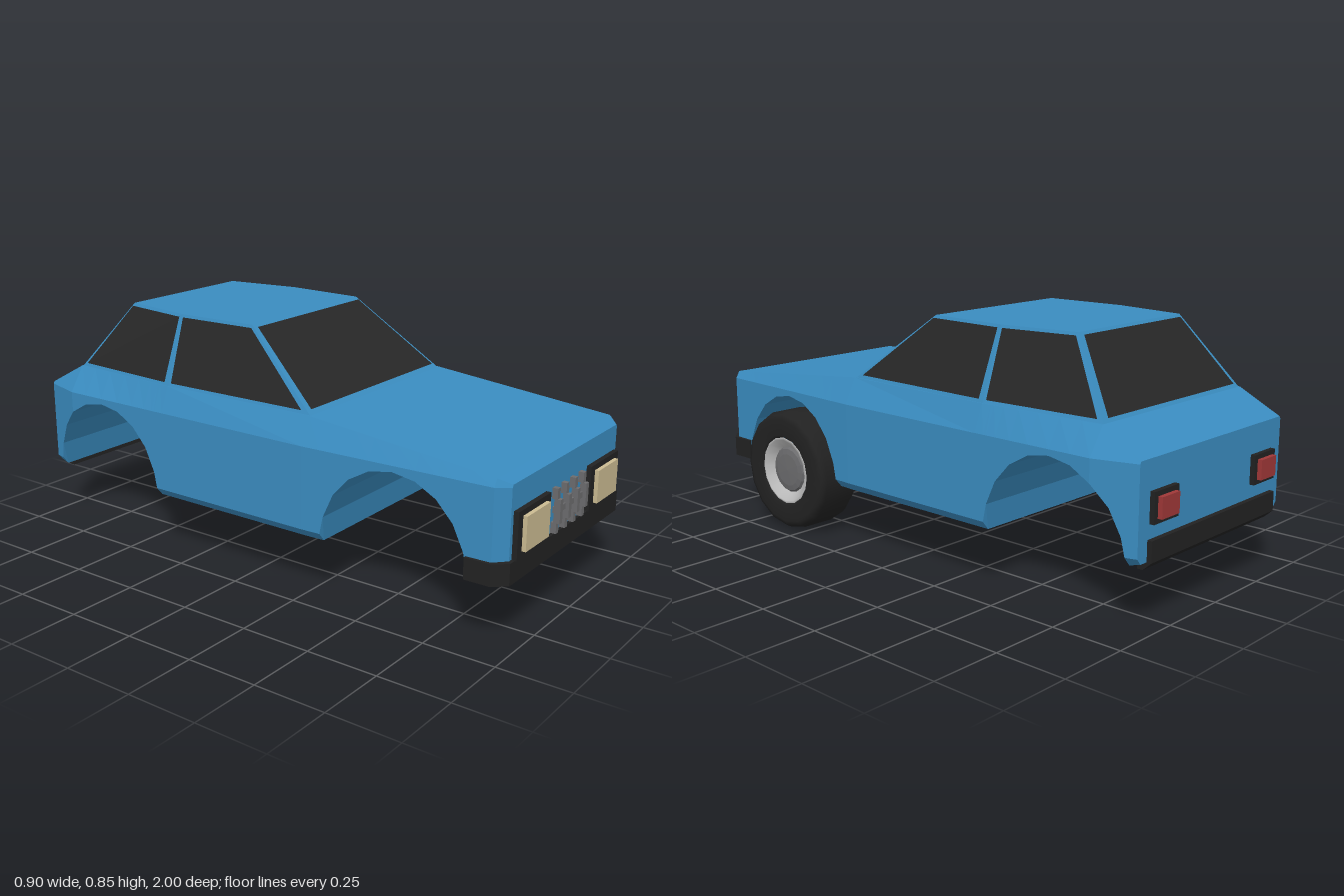
import * as THREE from 'three';

const mat = (name, color, flatShading = true) => {
  const m = new THREE.MeshStandardMaterial({ color, flatShading });
  m.name = name;
  return m;
};

// Piecewise linear lookup in [[z, value], ...]
function lookup(table, z) {
  if (z <= table[0][0]) return table[0][1];
  for (let i = 1; i < table.length; i++) {
    const [z0, v0] = table[i - 1], [z1, v1] = table[i];
    if (z <= z1) return v0 + (v1 - v0) * (z - z0) / (z1 - z0);
  }
  return table[table.length - 1][1];
}

// Separate polygons (counter-clockwise, convex) as one geometry
function polygons(list) {
  const pos = [];
  for (const p of list)
    for (let i = 1; i < p.length - 1; i++) pos.push(...p[0], ...p[i], ...p[i + 1]);
  const g = new THREE.BufferGeometry();
  g.setAttribute('position', new THREE.Float32BufferAttribute(pos, 3));
  g.computeVertexNormals();
  return g;
}

// Lower body: cross-sections along z, with wheel arches running right through
function bodyGeometry() {
  const sill = 0.205;
  const arch = (c) => Array.from({ length: 11 }, (_, k) => {
    const a = Math.PI * (1 - k / 10);
    return [c + 0.265 * Math.cos(a), sill + 0.295 * Math.sin(a)];
  });
  const bottom = [[-0.968, 0.215], ...arch(-0.665), ...arch(0.585), [0.968, sill]];
  const top = [[-0.968, 0.528], [-0.82, 0.61], [0.25, 0.61], [0.93, 0.545], [0.968, 0.525]];
  const side = [[-0.968, 0.397], [-0.82, 0.44], [0.25, 0.44], [0.93, 0.41], [0.968, 0.37]];
  const shoulder = [[-0.968, 0.392], [-0.82, 0.38], [-0.363, 0.405], [0.25, 0.395], [0.93, 0.395], [0.968, 0.365]];
  const zs = [...new Set([...bottom, ...top, ...shoulder].map((p) => +p[0].toFixed(4)))].sort((a, b) => a - b);
  const rings = zs.map((z) => {
    const yb = lookup(bottom, z), yt = lookup(top, z), w = lookup(side, z);
    const half = [
      [w - 0.025 * Math.max(0, 1 - (yb - sill) / 0.03), yb],
      [w, Math.max(0.235, yb + 0.002)],
      [w, Math.min(0.52, yt - 0.008)],
      [lookup(shoulder, z), yt],
    ];
    return [...half, ...half.map(([x, y]) => [-x, y]).reverse()].map(([x, y]) => [x, y, z]);
  });
  const faces = [[...rings[0]].reverse(), rings[rings.length - 1]];
  for (let s = 0; s < rings.length - 1; s++)
    for (let i = 0; i < 8; i++) {
      const j = (i + 1) % 8;
      faces.push([rings[s][i], rings[s][j], rings[s + 1][j], rings[s + 1][i]]);
    }
  return polygons(faces);
}

// Window plate set into a quad [bottom a, bottom b, top b, top a]
function windowPane([a, b, c, d], u0, u1, v0 = 0.05, v1 = 0.955) {
  const V = (p) => new THREE.Vector3(...p);
  const n = V(b).sub(V(a)).cross(V(d).sub(V(a))).normalize().multiplyScalar(0.005);
  const at = (u, v) => V(a).lerp(V(b), u).lerp(V(d).lerp(V(c), u), v).add(n).toArray();
  return [at(u0, v0), at(u1, v0), at(u1, v1), at(u0, v1)];
}

export function createModel() {
  const root = new THREE.Group();
  root.name = 'car';
  const blue = mat('body blue', 0x3a8cc0);
  const black = mat('trim black', 0x222222);
  const glass = mat('window dark', 0x272727);
  const rubber = mat('tyre rubber', 0x222222, false);
  const silver = mat('rim silver', 0xbdbdbd, false);
  const grey = mat('metal grey', 0x6c6c6e);
  const cream = mat('headlight cream', 0xcbbb92);
  const red = mat('taillight red', 0xa03838);

  const shell = new THREE.Group();
  shell.name = 'shell';
  shell.position.x = -0.012;
  root.add(shell);
  const add = (name, geo, material, parent = shell) => {
    const m = new THREE.Mesh(geo, material);
    m.name = name;
    parent.add(m);
    return m;
  };
  const box = (name, w, h, d, x, y, z, material) =>
    add(name, new THREE.BoxGeometry(w, h, d), material).position.set(x, y, z);

  add('lowerBody', bodyGeometry(), blue);

  // Cabin: base and roof corners on the +x side, front to back
  const base = [[0.39, 0.608, 0.25], [0.403, 0.608, -0.363], [0.375, 0.608, -0.82]];
  const roof = [[0.302, 0.85, -0.06], [0.315, 0.85, -0.363], [0.272, 0.85, -0.64]];
  const flip = ([x, y, z]) => [-x, y, z];
  const mirrorQuad = ([a, b, c, d]) => [flip(b), flip(a), flip(d), flip(c)];
  const front = [flip(base[0]), base[0], roof[0], flip(roof[0])];
  const rear = [base[2], flip(base[2]), flip(roof[2]), roof[2]];
  const sideFront = [base[0], base[1], roof[1], roof[0]];
  const sideRear = [base[1], base[2], roof[2], roof[1]];
  const roofTop = [...roof, ...[...roof].reverse().map(flip)];
  add('cabin', polygons([front, rear, sideFront, sideRear,
    mirrorQuad(sideFront), mirrorQuad(sideRear), roofTop]), blue);

  add('windshield', polygons([windowPane(front, 0.022, 0.978)]), glass);
  add('rearWindow', polygons([windowPane(rear, 0.03, 0.97)]), glass);
  const paneF = windowPane(sideFront, 0.035, 0.975);
  const paneR = windowPane(sideRear, 0.035, 0.965);
  add('frontSideWindows', polygons([paneF, mirrorQuad(paneF)]), glass);
  add('rearSideWindows', polygons([paneR, mirrorQuad(paneR)]), glass);

  // Front bumper wraps the nose corners
  const plan = new THREE.Shape([[-0.423, -0.845], [-0.423, -0.935], [-0.385, -0.98],
    [0.385, -0.98], [0.423, -0.935], [0.423, -0.845]].map((p) => new THREE.Vector2(...p)));
  const bumper = new THREE.ExtrudeGeometry(plan, { depth: 0.072, bevelEnabled: false });
  bumper.rotateX(-Math.PI / 2).scale(1, 1, 1);
  add('frontBumper', bumper, black).position.y = 0.214;

  // Rear bumper with chamfered lower edge
  const section = new THREE.Shape([[0.935, 0.188], [0.955, 0.188], [0.985, 0.215],
    [0.985, 0.283], [0.94, 0.283]].map((p) => new THREE.Vector2(...p)));
  const rearBumper = new THREE.ExtrudeGeometry(section, { depth: 0.7, bevelEnabled: false });
  rearBumper.rotateY(Math.PI / 2).rotateY(0);
  rearBumper.translate(-0.35, 0, 0);
  add('rearBumper', rearBumper, black);

  // Lights on both sides
  for (const s of [-1, 1]) {
    box('headlightFrame', 0.21, 0.155, 0.03, s * 0.25, 0.362, 0.97, black);
    box('headlightLens', 0.153, 0.113, 0.03, s * 0.25, 0.364, 0.984, cream);
    box('taillightFrame', 0.125, 0.1, 0.025, s * 0.28, 0.38, -0.972, black);
    box('taillightLens', 0.09, 0.068, 0.03, s * 0.28, 0.38, -0.985, red);
  }

  // Grille: four uprights with stepped ends and one cross bar
  for (let i = 0; i < 4; i++) {
    const x = -0.093 + i * 0.062;
    box('grilleBar', 0.018, 0.08, 0.022, x, 0.363, 0.987, grey);
    for (const s of [-1, 1]) box('grilleBarEnd', 0.018, 0.036, 0.022, x, 0.363 + s * 0.057, 0.976, grey);
  }
  box('grilleCrossBar', 0.19, 0.02, 0.02, 0, 0.363, 0.976, grey);

  // Wheel: profiles of [radius, offset along the axle]
  const wheel = new THREE.Group();
  wheel.name = 'frontLeftWheel';
  wheel.position.set(0.365, 0.222, 0.585);
  wheel.rotation.z = -Math.PI / 2;
  root.add(wheel);
  const lathe = (name, pts, material) => add(name,
    new THREE.LatheGeometry(pts.map((p) => new THREE.Vector2(...p)), 16), material, wheel);
  lathe('tyre', [[0, -0.08], [0.12, -0.087], [0.195, -0.087], [0.213, -0.08], [0.222, -0.062],
    [0.222, 0.062], [0.213, 0.08], [0.195, 0.087], [0.135, 0.087], [0.125, 0.078]], rubber);
  lathe('rim', [[0.126, 0.08], [0.117, 0.083], [0.085, 0.055]], silver);
  lathe('hub', [[0.088, 0.055], [0.08, 0.064], [0.06, 0.068], [0, 0.07]], grey);
  return root;
}
